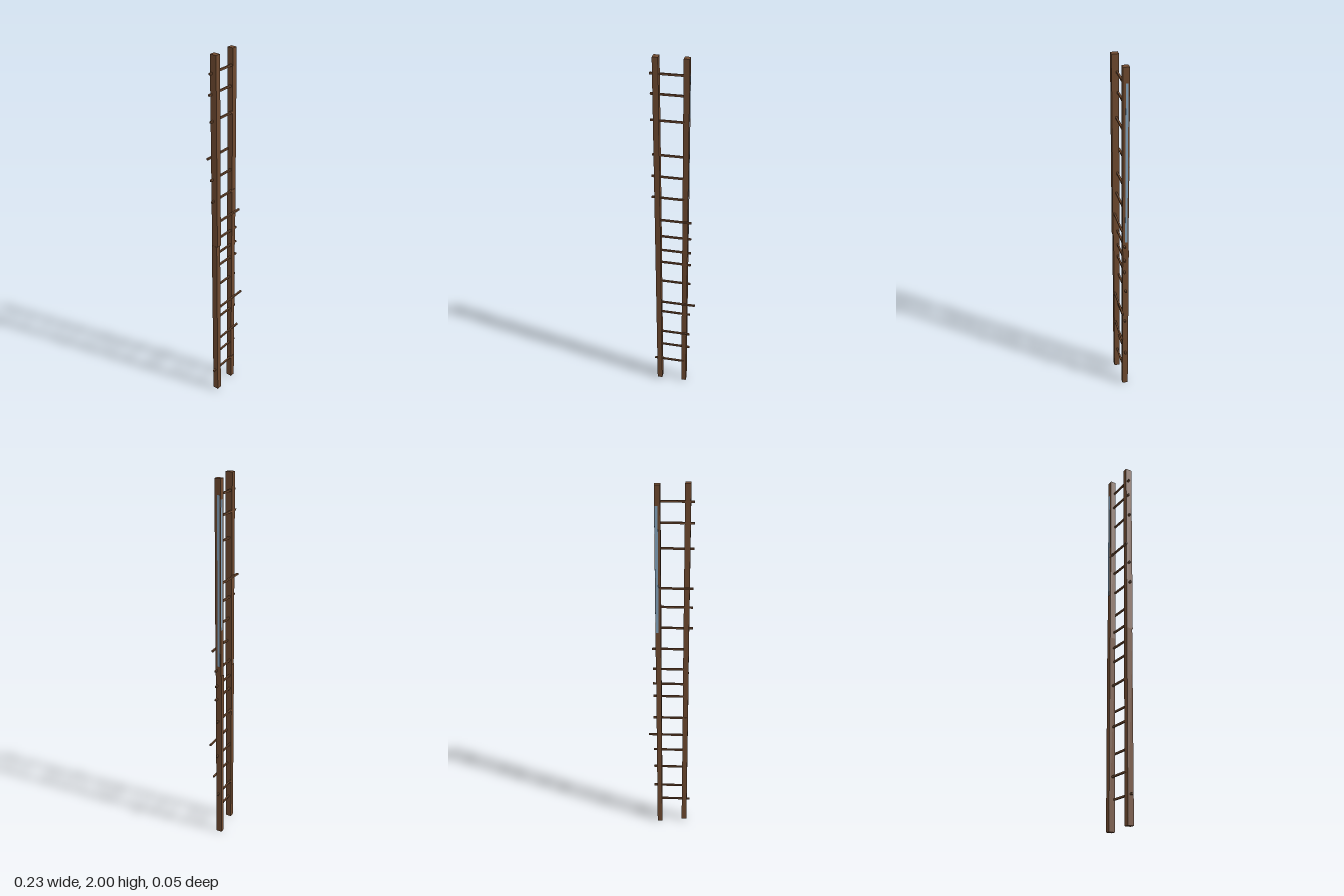
import * as THREE from 'three';

const wood = new THREE.MeshStandardMaterial({ color: 0x6f4a30 });
wood.name = 'brown wood';
const blue = new THREE.MeshStandardMaterial({ color: 0x86a5bf });
blue.name = 'pale blue';

// Box given by its limits on each axis
function box(parent, name, material, [x0, x1], [y0, y1], [z0, z1]) {
  const mesh = new THREE.Mesh(new THREE.BoxGeometry(x1 - x0, y1 - y0, z1 - z0), material);
  mesh.position.set((x0 + x1) / 2, (y0 + y1) / 2, (z0 + z1) / 2);
  mesh.name = name;
  parent.add(mesh);
  return mesh;
}

export function createModel() {
  const ladder = new THREE.Group();
  ladder.name = 'ladder';

  // Rails, each joined from two slightly misaligned lengths
  box(ladder, 'rightRailLower', wood, [-0.1, -0.072], [0.01, 1.0], [-0.011, 0.021]);
  box(ladder, 'rightRailUpper', wood, [-0.099, -0.071], [1.0, 2.0], [-0.01, 0.025]);
  box(ladder, 'leftRailLower', wood, [0.041, 0.068], [0, 0.995], [-0.025, 0.007]);
  box(ladder, 'leftRailUpper', wood, [0.041, 0.069], [0.995, 1.995], [-0.023, 0.008]);

  // Worn pale strips on the upper left rail
  box(ladder, 'sideStrip', blue, [0.067, 0.0695], [1.05, 1.92], [-0.017, -0.005]);
  box(ladder, 'backStrip', blue, [0.053, 0.067], [1.25, 1.9], [-0.0245, -0.021]);

  // Rungs: height, left end, right end, depth
  const rungs = [
    [1.915, -0.117, 0.066, 0.0], [1.815, -0.117, 0.066, -0.004], [1.687, -0.117, 0.066, 0.004],
    [1.492, -0.116, 0.068, -0.0195], [1.383, -0.117, 0.067, 0.0], [1.265, -0.117, 0.066, 0.005],
    [1.138, -0.085, 0.089, 0.0155], [1.027, -0.095, 0.086, 0.0], [0.938, -0.095, 0.086, -0.001],
    [0.86, -0.095, 0.086, 0.0], [0.727, -0.095, 0.085, -0.007], [0.597, -0.075, 0.115, 0.0165],
    [0.51, -0.095, 0.085, -0.004], [0.378, -0.09, 0.087, 0.014], [0.26, -0.095, 0.085, -0.007],
    [0.152, -0.117, 0.066, 0.004],
  ];
  const h = 0.0045;
  for (const [y, x0, x1, z] of rungs) {
    box(ladder, 'rung', wood, [x0, x1], [y - h, y + h], [z - h, z + h]);
  }
  return ladder;
}
